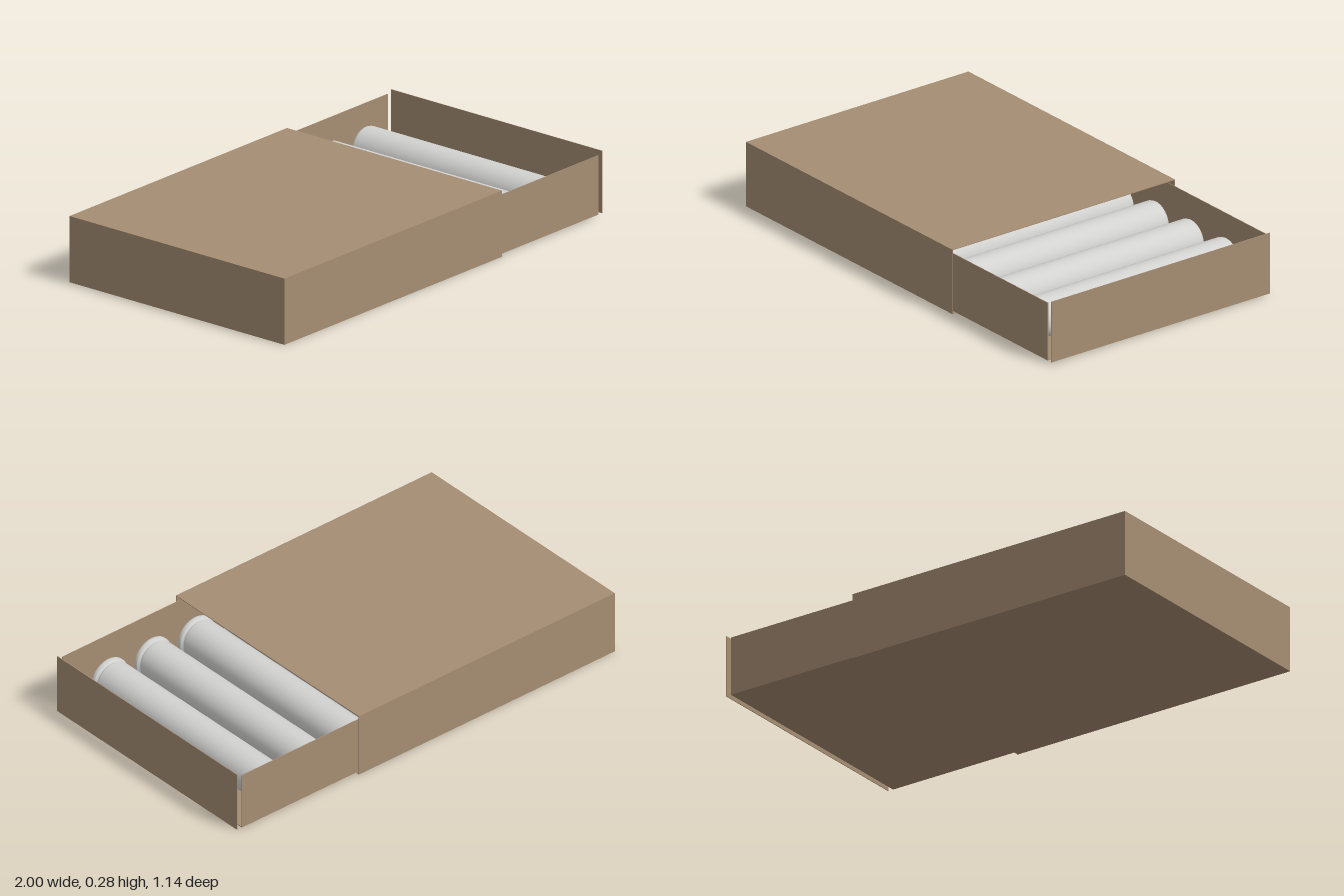
import * as THREE from 'three';

export function createModel() {
  const model = new THREE.Group();
  model.name = 'slidingBox';

  const card = new THREE.MeshStandardMaterial({ color: 0xa68d73 });
  card.name = 'cardboard';
  const metal = new THREE.MeshStandardMaterial({ color: 0xd2d3d1 });
  metal.name = 'pale metal';

  // Thin card panel given by its min and max corners
  const panel = (group, name, [x0, y0, z0], [x1, y1, z1]) => {
    const mesh = new THREE.Mesh(new THREE.BoxGeometry(x1 - x0, y1 - y0, z1 - z0), card);
    mesh.position.set((x0 + x1) / 2, (y0 + y1) / 2, (z0 + z1) / 2);
    mesh.name = name;
    group.add(mesh);
  };
  const T = 0.003;

  // Outer sleeve, open towards +x
  const sleeve = new THREE.Group();
  sleeve.name = 'sleeve';
  const sx0 = -1, sx1 = 0.36, sh = 0.285, sz = 0.57;
  panel(sleeve, 'sleeveBottom', [sx0, 0, -sz], [sx1, T, sz]);
  panel(sleeve, 'sleeveTop', [sx0, sh - T, -sz], [sx1, sh, sz]);
  panel(sleeve, 'sleeveFront', [sx0, T, sz - T], [sx1, sh - T, sz]);
  panel(sleeve, 'sleeveBack', [sx0, T, -sz], [sx1, sh - T, -sz + T]);
  panel(sleeve, 'sleeveEnd', [sx0, T, -sz + T], [sx0 + T, sh - T, sz - T]);
  model.add(sleeve);

  // Sliding tray, pulled halfway out, with end flaps set slightly apart
  const tray = new THREE.Group();
  tray.name = 'tray';
  const tx0 = -0.36, tx1 = 0.975, ty = 0.008, th = 0.263, tz = 0.56;
  panel(tray, 'trayFloor', [tx0, ty, -tz], [tx1, ty + T, tz]);
  panel(tray, 'trayFront', [tx0, ty + T, tz - T], [tx1, th, tz]);
  panel(tray, 'trayBack', [tx0, ty + T, -tz], [tx1, th, -tz + T]);
  panel(tray, 'trayOuterEnd', [0.997, ty, -tz], [1, 0.276, tz]);
  panel(tray, 'trayInnerEnd', [-0.385, ty, -tz], [-0.382, 0.276, tz]);
  model.add(tray);

  // Rimmed metal tubes lying side by side across the tray
  const profile = [
    [0, -0.513], [0.076, -0.513], [0.084, -0.509], [0.088, -0.498],
    [0.088, 0.468], [0.082, 0.475], [0.082, 0.481],
    [0.091, 0.484], [0.093, 0.488], [0.093, 0.499], [0.09, 0.504], [0, 0.504],
  ].map(([r, y]) => new THREE.Vector2(r, y));
  const tubeGeometry = new THREE.LatheGeometry(profile, 48);
  tubeGeometry.rotateX(Math.PI / 2);
  const tubes = new THREE.Group();
  tubes.name = 'tubes';
  for (let i = 0; i < 5; i++) {
    const tube = new THREE.Mesh(tubeGeometry, metal);
    tube.name = `tube${i + 1}`;
    tube.position.set(0.778 - i * 0.231, ty + T + 0.093, 0);
    tubes.add(tube);
  }
  model.add(tubes);

  return model;
}
